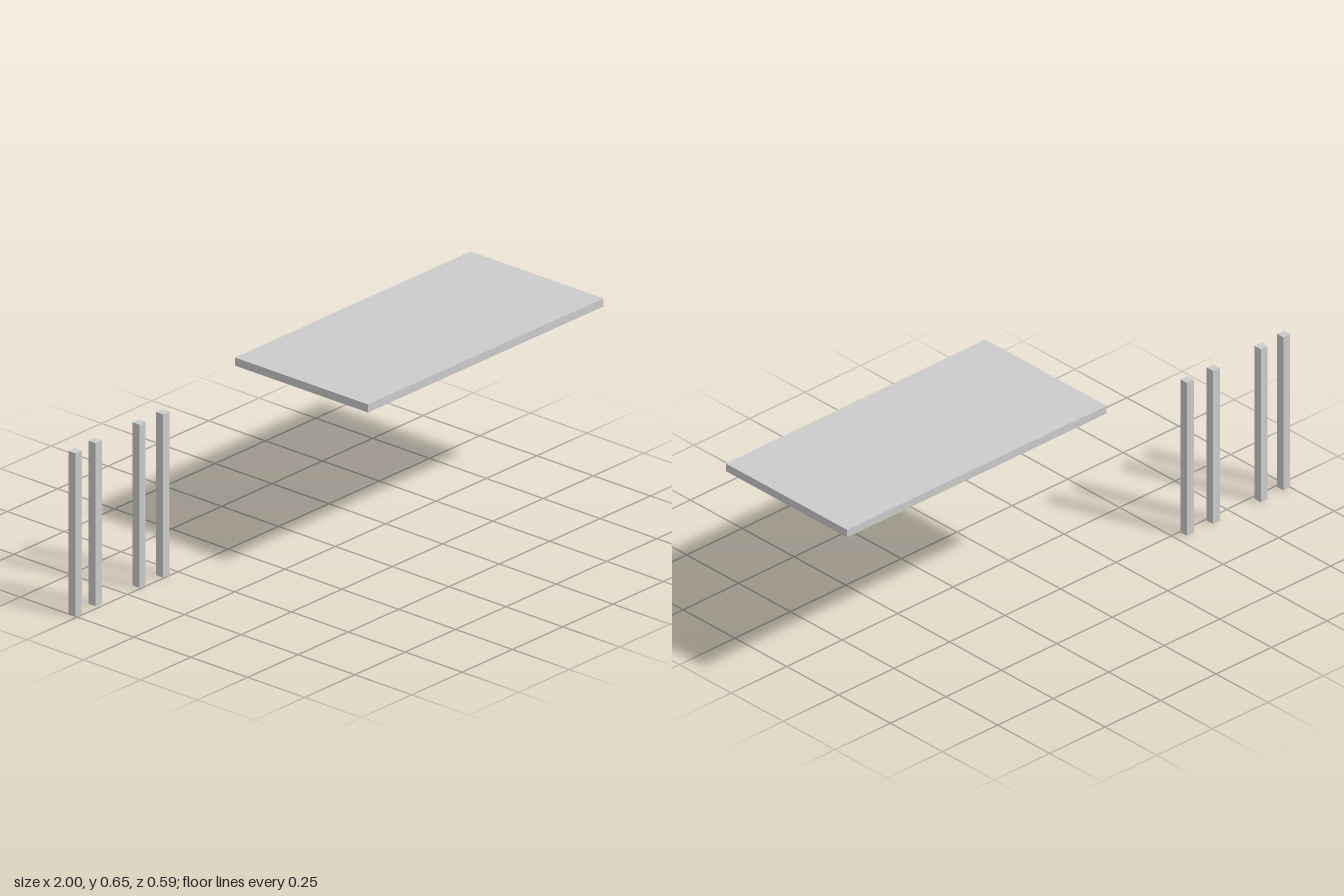
import * as THREE from 'three';

export function createModel() {
  const model = new THREE.Group();
  const material = new THREE.MeshStandardMaterial({ color: 0xcccccc, flatShading: true });
  const legSize = 0.031, legHeight = 0.586;

  const add = (parent, name, geometry, x, y, z) => {
    const mesh = new THREE.Mesh(geometry, material);
    mesh.name = name;
    mesh.position.set(x, y, z);
    parent.add(mesh);
  };

  // Tabletop: a solid upper layer over a layer with a leg socket in each corner
  const width = 1.17, depth = 0.585, bottom = 0.621, socketDepth = 0.02, skin = 0.009, inset = 0.006;
  const tabletop = new THREE.Group();
  tabletop.name = 'tabletop';
  tabletop.position.set(0.415, bottom, 0.0015);
  model.add(tabletop);

  const rectangle = (PathType, cx, cy, w, h) => new PathType([
    new THREE.Vector2(cx - w / 2, cy - h / 2),
    new THREE.Vector2(cx + w / 2, cy - h / 2),
    new THREE.Vector2(cx + w / 2, cy + h / 2),
    new THREE.Vector2(cx - w / 2, cy + h / 2),
  ]);
  const outline = rectangle(THREE.Shape, 0, 0, width, depth);
  for (const sx of [-1, 1]) {
    for (const sy of [-1, 1]) {
      const cx = sx * (width / 2 - inset - legSize / 2);
      const cy = sy * (depth / 2 - inset - legSize / 2);
      outline.holes.push(rectangle(THREE.Path, cx, cy, legSize, legSize));
    }
  }
  const socketLayer = new THREE.ExtrudeGeometry(outline, { depth: socketDepth, bevelEnabled: false });
  socketLayer.rotateX(-Math.PI / 2);
  add(tabletop, 'socketLayer', socketLayer, 0, 0, 0);
  add(tabletop, 'topLayer', new THREE.BoxGeometry(width, skin, depth), 0, socketDepth + skin / 2, 0);

  // Four detached legs standing in a slightly uneven row
  const legs = [[-0.985, -0.272], [-0.878, -0.278], [-0.668, -0.272], [-0.553, -0.269]];
  legs.forEach(([x, z], i) => add(model, `leg${i + 1}`,
    new THREE.BoxGeometry(legSize, legHeight, legSize), x, legHeight / 2, z));

  return model;
}
